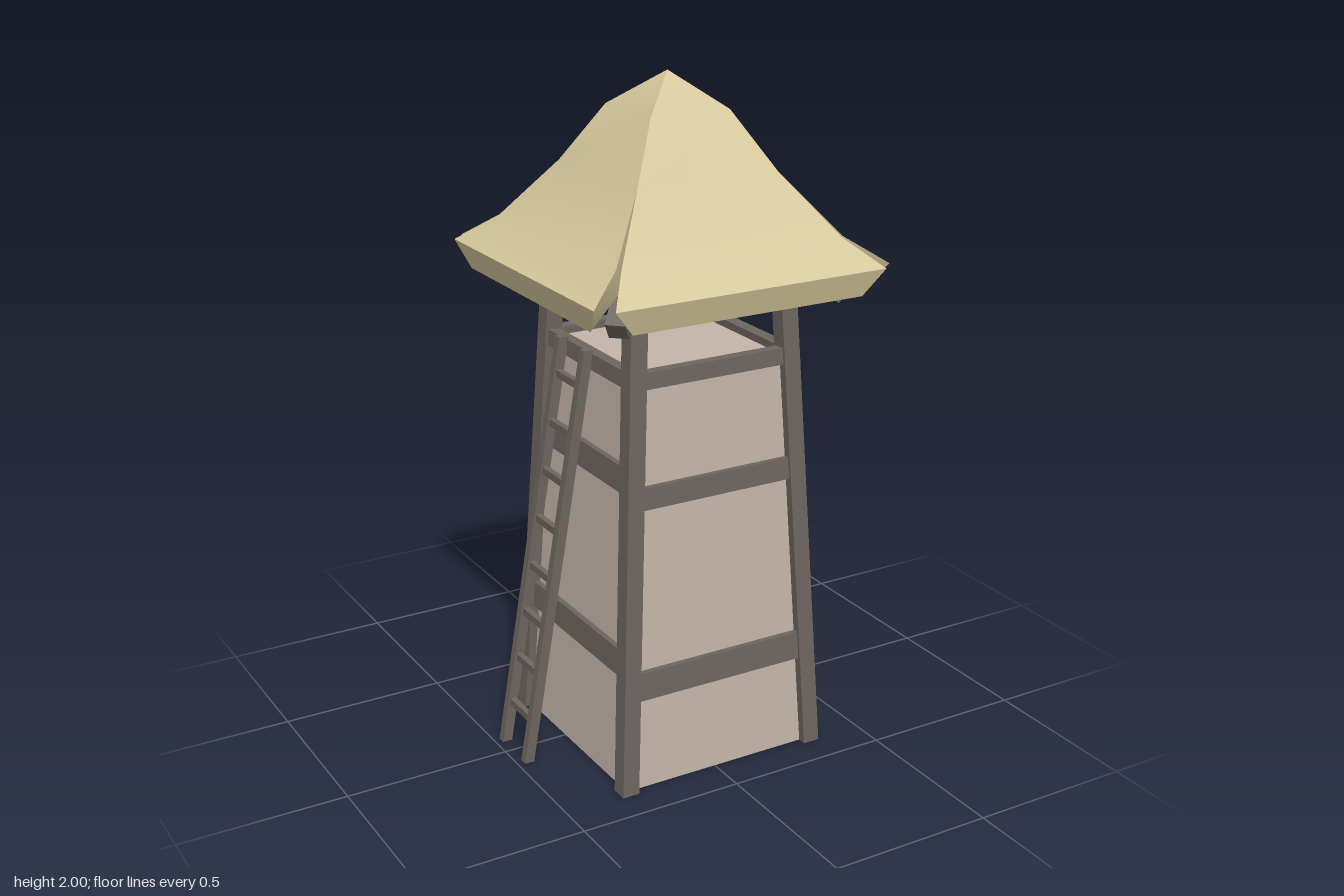
import * as THREE from 'three';

const mat = (color, side = THREE.FrontSide) => new THREE.MeshStandardMaterial({ color, side });
const WOOD = mat(0x6e665f);
const WALL = mat(0xc4b5a8, THREE.DoubleSide);
const THATCH = mat(0xd6c89c, THREE.DoubleSide);
const CHEST = mat(0x937a5a);

const LEAN = 0.052;                       // inward lean of the tower per unit of height
const half = (y) => 0.312 - LEAN * y;     // distance from axis to wall at height y

function add(parent, name, geometry, material, x = 0, y = 0, z = 0) {
  const m = new THREE.Mesh(geometry, material);
  m.name = name;
  m.position.set(x, y, z);
  parent.add(m);
  return m;
}

// Box standing on y = 0, sheared sideways by sx, sz per unit of height
function leaningPost(w, h, d, sx, sz) {
  const g = new THREE.BoxGeometry(w, h, d).translate(0, h / 2, 0);
  g.applyMatrix4(new THREE.Matrix4().set(1, sx, 0, 0, 0, 1, 0, 0, 0, sz, 1, 0, 0, 0, 0, 1));
  return g;
}

// Straight beam from a to b
function beam(parent, name, a, b, w, h, material) {
  const m = add(parent, name, new THREE.BoxGeometry(w, h, a.distanceTo(b)), material);
  m.position.copy(a).add(b).multiplyScalar(0.5);
  m.lookAt(b);
  return m;
}

// One roof panel facing +z: curved top, underside, eave lip and two side edges
function roofPanel() {
  // rows are [distance from axis, height, half width]
  const top = [[0, 2, 0], [0.125, 1.9, 0.125], [0.222, 1.735, 0.222], [0.355, 1.565, 0.345], [0.463, 1.49, 0.422]];
  const under = [[0, 1.92, 0], [0.1, 1.83, 0.1], [0.19, 1.665, 0.19], [0.325, 1.495, 0.315], [0.44, 1.415, 0.36]];
  const pos = [], index = [];
  const point = ([d, y, w], s) => [s * w, y, d];
  const strip = (left, right) => {
    const base = pos.length / 3;
    left.forEach((p, i) => pos.push(...p, ...right[i]));
    for (let i = 0; i < left.length - 1; i++) {
      const k = base + i * 2;
      index.push(k, k + 2, k + 1, k + 1, k + 2, k + 3);
    }
  };
  const side = (rows, s) => rows.map((r) => point(r, s));
  strip(side(top, -1), side(top, 1));
  strip(side(under, 1), side(under, -1));
  strip(side([top[4], under[4]], -1), side([top[4], under[4]], 1));
  strip(side(top, 1), side(under, 1));
  strip(side(under, -1), side(top, -1));
  const g = new THREE.BufferGeometry();
  g.setAttribute('position', new THREE.Float32BufferAttribute(pos, 3));
  g.setIndex(index);
  g.computeVertexNormals();
  return g;
}

function makeTower() {
  const tower = new THREE.Group();
  tower.name = 'tower';

  // Tapered walls, open below, with a lookout floor on top
  const H = 1.22, R = Math.SQRT2;
  const shell = new THREE.CylinderGeometry(half(H) * R, half(0) * R, H, 4, 1, true, Math.PI / 4).toNonIndexed();
  shell.computeVertexNormals();
  add(tower, 'walls', shell, WALL, 0, H / 2, 0);
  add(tower, 'lookoutFloor', new THREE.BoxGeometry(half(H) * 2, 0.02, half(H) * 2), WALL, 0, 1.205, 0);

  // Corner posts and the hip rafters above them
  for (const sx of [-1, 1]) for (const sz of [-1, 1]) {
    add(tower, 'cornerPost', leaningPost(0.052, 1.6, 0.052, -sx * LEAN, -sz * LEAN), WOOD, sx * half(0), 0, sz * half(0));
    beam(tower, 'hipRafter', new THREE.Vector3(sx * 0.365, 1.405, sz * 0.365),
      new THREE.Vector3(sx * 0.17, 1.635, sz * 0.17), 0.055, 0.06, WOOD);
  }

  // Cross rails and roof panels, one set per side
  const panel = roofPanel();
  for (let i = 0; i < 4; i++) {
    const side = new THREE.Group();
    side.name = 'towerSide';
    side.rotation.y = i * Math.PI / 2;
    const rails = i % 2 ? [[0.39, 0.08], [0.93, 0.078], [1.215, 0.048]] : [[0.322, 0.085], [0.88, 0.065], [1.215, 0.048]];
    for (const [y, h] of rails) {
      const rail = add(side, 'crossRail', new THREE.BoxGeometry(half(y) * 2, h, 0.036), WOOD, 0, y, half(y));
      rail.rotation.x = -Math.atan(LEAN);
    }
    add(side, 'roofPanel', panel, THATCH);
    tower.add(side);
  }
  return tower;
}

function makeLadder() {
  const ladder = new THREE.Group();
  ladder.name = 'ladder';
  const dx = 0.163, h = 1.25;             // lean towards the wall
  for (const z of [-0.068, 0.08]) {
    add(ladder, 'ladderRail', leaningPost(0.03, h, 0.026, dx, 0.014), WOOD, -0.465, 0, z);
  }
  for (let i = 0; i < 8; i++) {
    const y = 0.13 + i * 0.145;
    add(ladder, 'rung', new THREE.BoxGeometry(0.018, 0.022, 0.148), WOOD, -0.465 + dx * y, y, 0.006 + 0.014 * y);
  }
  return ladder;
}

function makeChest() {
  const chest = new THREE.Group();
  chest.name = 'chest';

  // Tapered body whose long sides bow out in the middle
  const bow = (w, d) => {
    const g = new THREE.BoxGeometry(w, 1, d, 2, 1, 1);
    const p = g.attributes.position;
    for (let i = 0; i < p.count; i++) {
      if (Math.abs(p.getX(i)) < 0.001) p.setZ(i, p.getZ(i) + Math.sign(p.getZ(i)) * 0.013);
    }
    return g;
  };
  const body = bow(0.31, 0.172);
  const p = body.attributes.position;
  for (let i = 0; i < p.count; i++) {
    if (p.getY(i) < 0) p.setXYZ(i, p.getX(i) * 0.82, p.getY(i), p.getZ(i) * 0.76);
  }
  const lid = bow(0.327, 0.19);
  for (const [name, g, h, y] of [['chestBody', body, 0.122, 0.061], ['chestLid', lid, 0.023, 0.1325]]) {
    g.scale(1, h, 1);
    const flat = g.toNonIndexed();
    flat.computeVertexNormals();
    add(chest, name, flat, CHEST, 0, y, 0);
  }

  // Hinge straps across the lid and down one long side
  for (const x of [-0.072, 0.072]) {
    add(chest, 'hingeStrap', new THREE.BoxGeometry(0.034, 0.01, 0.115), WOOD, x, 0.146, 0.05);
    add(chest, 'hingeDrop', new THREE.BoxGeometry(0.034, 0.055, 0.012), WOOD, x, 0.121, 0.104);
  }
  chest.position.set(0.205, 0, -0.388);
  chest.rotation.y = 0.325;
  return chest;
}

export function createModel() {
  const model = new THREE.Group();
  model.name = 'watchtower';
  const tower = makeTower();
  tower.position.set(0.015, 0, 0.068);
  model.add(tower, makeLadder(), makeChest());
  return model;
}
